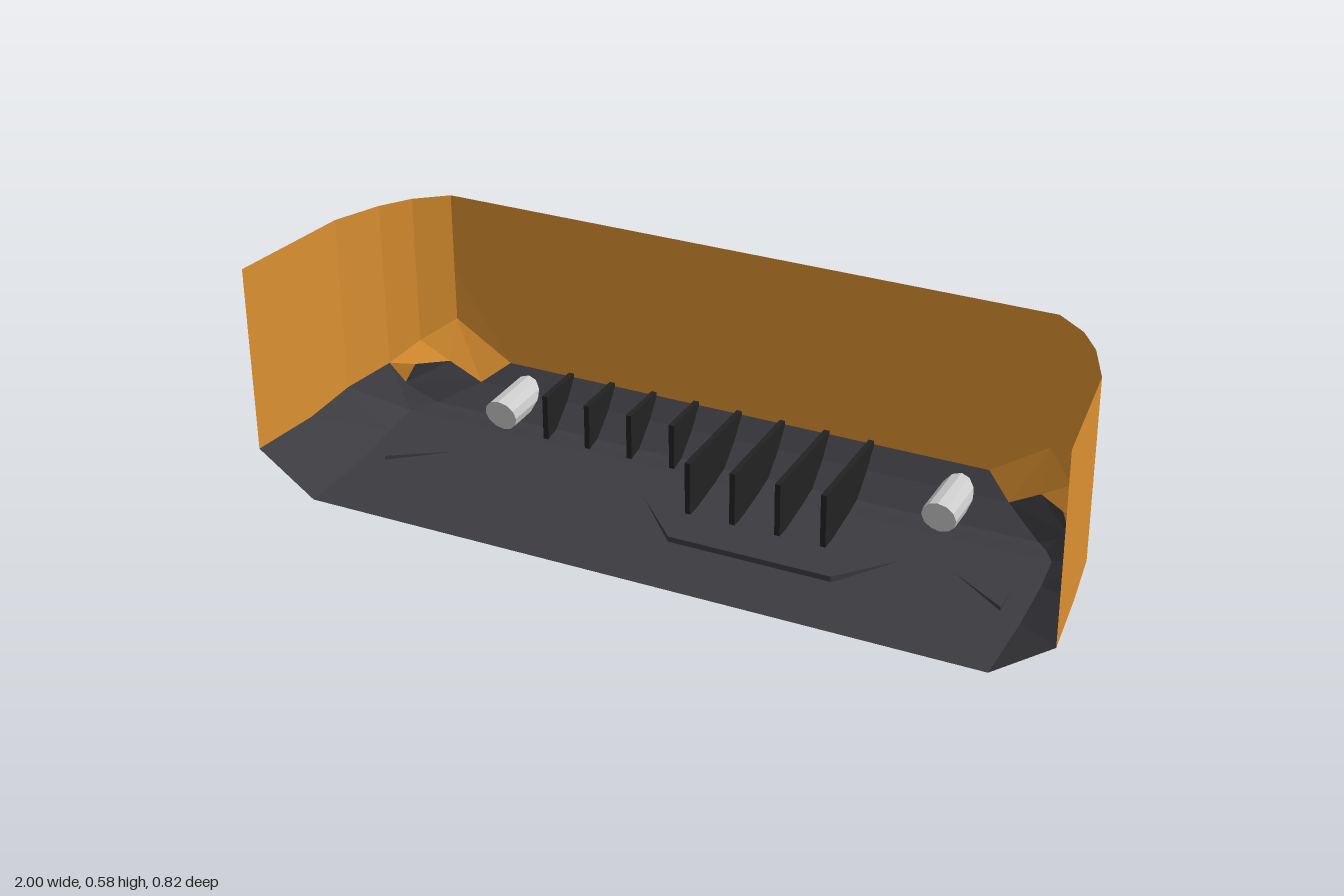
import * as THREE from 'three';

const paint = new THREE.MeshStandardMaterial({ color: 0xdb9030, side: THREE.DoubleSide, flatShading: true });
const dark = new THREE.MeshStandardMaterial({ color: 0x3c3b40, side: THREE.DoubleSide, flatShading: true });
const black = new THREE.MeshStandardMaterial({ color: 0x222222, flatShading: true });
const metal = new THREE.MeshStandardMaterial({ color: 0xcccccc, flatShading: true });

const flip = ([x, y, z]) => [-x, y, z];

// triangles of the strip between two polylines of equal length
function strip(a, b) {
  const tris = [];
  for (let i = 0; i < a.length - 1; i++) {
    tris.push([a[i], b[i], b[i + 1]], [a[i], b[i + 1], a[i + 1]]);
  }
  return tris;
}

// the same triangles on the other side, with their corner order kept outward
const mirrored = tris => [...tris, ...tris.map(([a, b, c]) => [flip(a), flip(c), flip(b)])];

function sheet(name, tris, material) {
  const geometry = new THREE.BufferGeometry();
  geometry.setAttribute('position', new THREE.Float32BufferAttribute(tris.flat(2), 3));
  geometry.computeVertexNormals();
  const mesh = new THREE.Mesh(geometry, material);
  mesh.name = name;
  return mesh;
}

export function createModel() {
  const group = new THREE.Group();
  group.name = 'bumper';

  // plan of the side wall, from the open end round the corner, and its lower seam
  const plan = [[1, 0.41], [0.977, 0.22], [0.96, 0.08], [0.91, -0.038], [0.86, -0.11], [0.785, -0.17]];
  const seamY = [0.108, 0.108, 0.127, 0.152, 0.195, 0.245];
  const rim = plan.map(([x, z]) => [x, 0.583, z]);
  const seam = plan.map(([x, z], i) => [x, seamY[i], z]);
  const [D, E, G] = seam.slice(3);

  // notched edge under the corner
  const n1 = [0.88, 0.092, -0.057], h1 = [0.855, 0.145, -0.072];
  const h2 = [0.785, 0.145, -0.125], n2 = [0.705, 0.095, -0.14];
  const back = [0.64, 0.145, -0.18];

  // side walls and chamfered corners
  group.add(sheet('sideWalls', mirrored(strip(rim, seam)), paint));
  group.add(sheet('cornerChamfers', mirrored([
    [D, n1, h1], [D, h1, E], [E, h1, h2], [E, h2, G], [G, h2, n2], [G, n2, back],
  ]), paint));

  // back panel, leaning out slightly toward its lower edge
  const middle = [[0.66, 0.583, -0.17], [0.66, 0.38, -0.17], back];
  const edge = [rim[5], [0.785, 0.38, -0.17], G];
  group.add(sheet('backPanel', [
    ...mirrored(strip(edge, middle)), ...strip(middle, middle.map(flip)),
  ], paint));

  // sloping lower sides and the corner tabs
  const floorEdge = [
    [0.855, 0.003, 0.41], [0.855, 0.003, 0.2], [0.855, 0.02, 0.06],
    [0.85, 0.034, -0.03], [0.825, 0.042, -0.06], [0.8, 0.045, -0.08],
  ];
  group.add(sheet('lowerSides', mirrored([
    ...strip([...seam.slice(0, 4), n1, n2], floorEdge),
    [n1, h2, h1], [n1, n2, h2],
  ]), dark));

  // floor rising to the back panel
  const floorLine = [...floorEdge, n2, back];
  group.add(sheet('floor', strip(floorLine, floorLine.map(flip)), dark));

  // flat plate under the floor: its front outline repeats the back one
  const outline = [[-0.8, -0.225], [-0.66, -0.315], [-0.13, -0.315], [0, -0.18],
    [0.41, -0.18], [0.53, -0.315], [0.66, -0.315], [0.8, -0.225]];
  const front = outline.map(([x, z]) => [x, z + 0.4]).reverse();
  const shape = new THREE.Shape([...outline, ...front].map(([x, z]) => new THREE.Vector2(x, -z)));
  const plate = new THREE.Mesh(
    new THREE.ExtrudeGeometry(shape, { depth: 0.017, bevelEnabled: false }).rotateX(-Math.PI / 2), dark);
  plate.name = 'underPlate';
  group.add(plate);

  // two staggered sets of upright fins
  for (let i = 0; i < 8; i++) {
    const fin = new THREE.Mesh(new THREE.BoxGeometry(0.014, 0.137, 0.37), black);
    fin.position.set(-0.465 + i * 0.1155, 0.0865, i < 4 ? -0.225 : -0.075);
    fin.name = 'fin';
    group.add(fin);
  }

  // exhaust pipes with slanted ends
  for (const x of [-0.58, 0.577]) {
    const geometry = new THREE.CylinderGeometry(0.043, 0.043, 0.19, 12).rotateX(Math.PI / 2);
    const p = geometry.attributes.position;
    for (let i = 0; i < p.count; i++) p.setZ(i, p.getZ(i) + p.getY(i) * 0.25);
    const pipe = new THREE.Mesh(geometry, metal);
    pipe.position.set(x, 0.086, -0.115);
    pipe.name = 'exhaustPipe';
    group.add(pipe);
  }

  return group;
}
